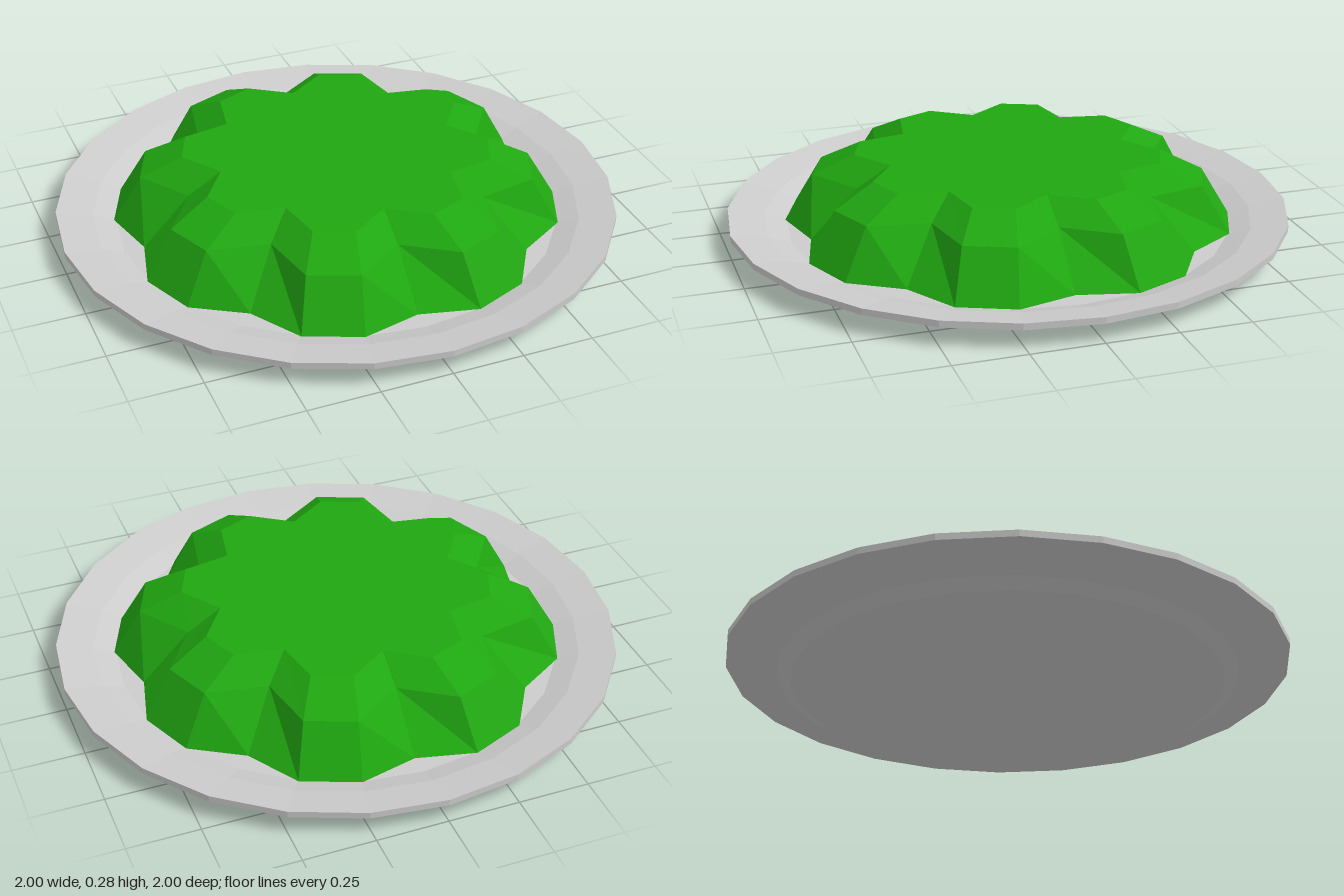
import * as THREE from 'three';

const SIDES = 24;

function lathe(name, points, color) {
  const profile = points.map(([r, y]) => new THREE.Vector2(r, y));
  const material = new THREE.MeshStandardMaterial({ color, flatShading: true });
  const mesh = new THREE.Mesh(new THREE.LatheGeometry(profile, SIDES), material);
  mesh.name = name;
  return mesh;
}

export function createModel() {
  const group = new THREE.Group();
  group.name = 'jellyOnPlate';

  // Plate: foot, underside, rim, well wall and floor
  group.add(lathe('plate', [
    [0, 0], [0.77, 0], [0.82, 0.027], [1, 0.067],
    [1, 0.09], [0.87, 0.067], [0.79, 0.04], [0, 0.04],
  ], 0xcccccc));

  // Jelly: eight lobes, with every third column drawn in to a groove
  const lobe = [[0.797, 0.042], [0.695, 0.213], [0.545, 0.285], [0, 0.285]];
  const grooveRadii = [0.72, 0.55, 0.43, 0];
  const jelly = lathe('jelly', lobe, 0x20a711);
  jelly.material.side = THREE.DoubleSide;
  const pos = jelly.geometry.attributes.position;
  for (let i = 0; i <= SIDES; i += 3) {
    const angle = (i / SIDES) * Math.PI * 2;
    grooveRadii.forEach((r, j) => {
      const k = i * lobe.length + j;
      pos.setX(k, r * Math.sin(angle));
      pos.setZ(k, r * Math.cos(angle));
    });
  }
  jelly.geometry.computeVertexNormals();
  group.add(jelly);

  return group;
}
